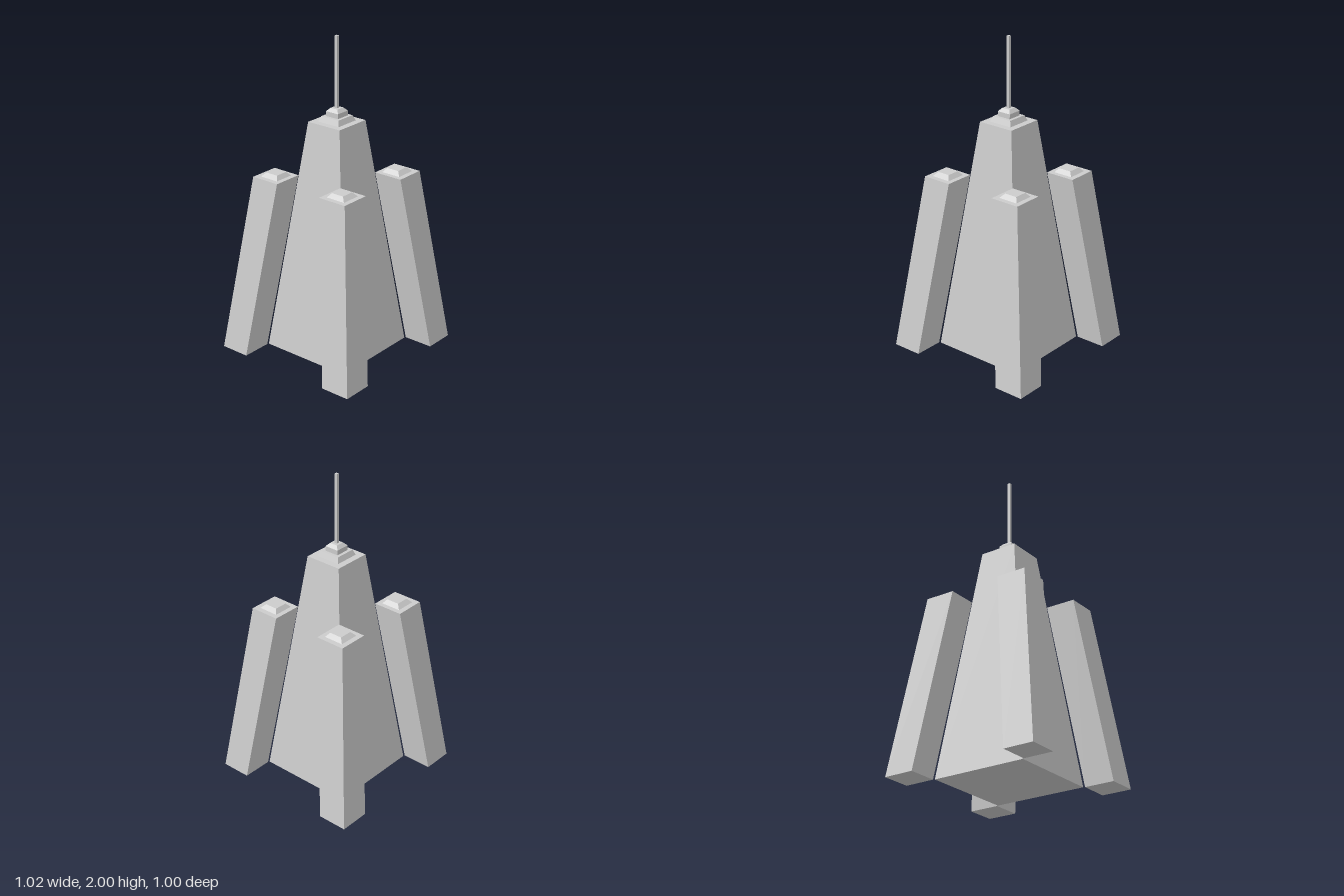
import * as THREE from 'three';

const material = new THREE.MeshStandardMaterial({ color: 0xcccccc, flatShading: true });

// Block with rectangular bottom and top; each end is [y, centreX, centreZ, halfX, halfZ]
function taperedBlock(name, bottom, top) {
  const geometry = new THREE.BoxGeometry(2, 2, 2);
  const p = geometry.attributes.position;
  for (let i = 0; i < p.count; i++) {
    const [y, cx, cz, hx, hz] = p.getY(i) > 0 ? top : bottom;
    p.setXYZ(i, cx + p.getX(i) * hx, y, cz + p.getZ(i) * hz);
  }
  geometry.computeVertexNormals();
  const mesh = new THREE.Mesh(geometry, material);
  mesh.name = name;
  return mesh;
}

// Centred square block
const centred = (name, y0, h0, y1, h1) =>
  taperedBlock(name, [y0, 0, 0, h0, h0], [y1, 0, 0, h1, h1]);

// Corner tower leaning towards the centre, with a bevelled roof cap
function cornerTower(name, sx, sz) {
  const tower = new THREE.Group();
  tower.name = name;
  tower.add(
    taperedBlock('towerShaft',
      [0, sx * 0.413, sz * 0.406, 0.097, 0.096],
      [1.14, sx * 0.262, sz * 0.259, 0.096, 0.096]),
    taperedBlock('towerCap',
      [1.14, sx * 0.261, sz * 0.258, 0.064, 0.064],
      [1.165, sx * 0.261, sz * 0.255, 0.041, 0.041]),
  );
  return tower;
}

export function createModel() {
  const model = new THREE.Group();
  model.name = 'spireBuilding';

  // Central tower with stepped roof and mast
  model.add(
    centred('centralTower', 0, 0.306, 1.477, 0.121),
    centred('roofStep', 1.477, 0.08, 1.51, 0.066),
    centred('lanternBase', 1.51, 0.046, 1.54, 0.046),
    centred('lanternRoof', 1.54, 0.046, 1.56, 0.027),
    centred('mast', 1.56, 0.009, 2, 0.009),
  );

  // Four corner towers
  for (const [sx, side] of [[1, 'Left'], [-1, 'Right']])
    for (const [sz, end] of [[1, 'front'], [-1, 'back']])
      model.add(cornerTower(`${end}${side}Tower`, sx, sz));

  return model;
}
